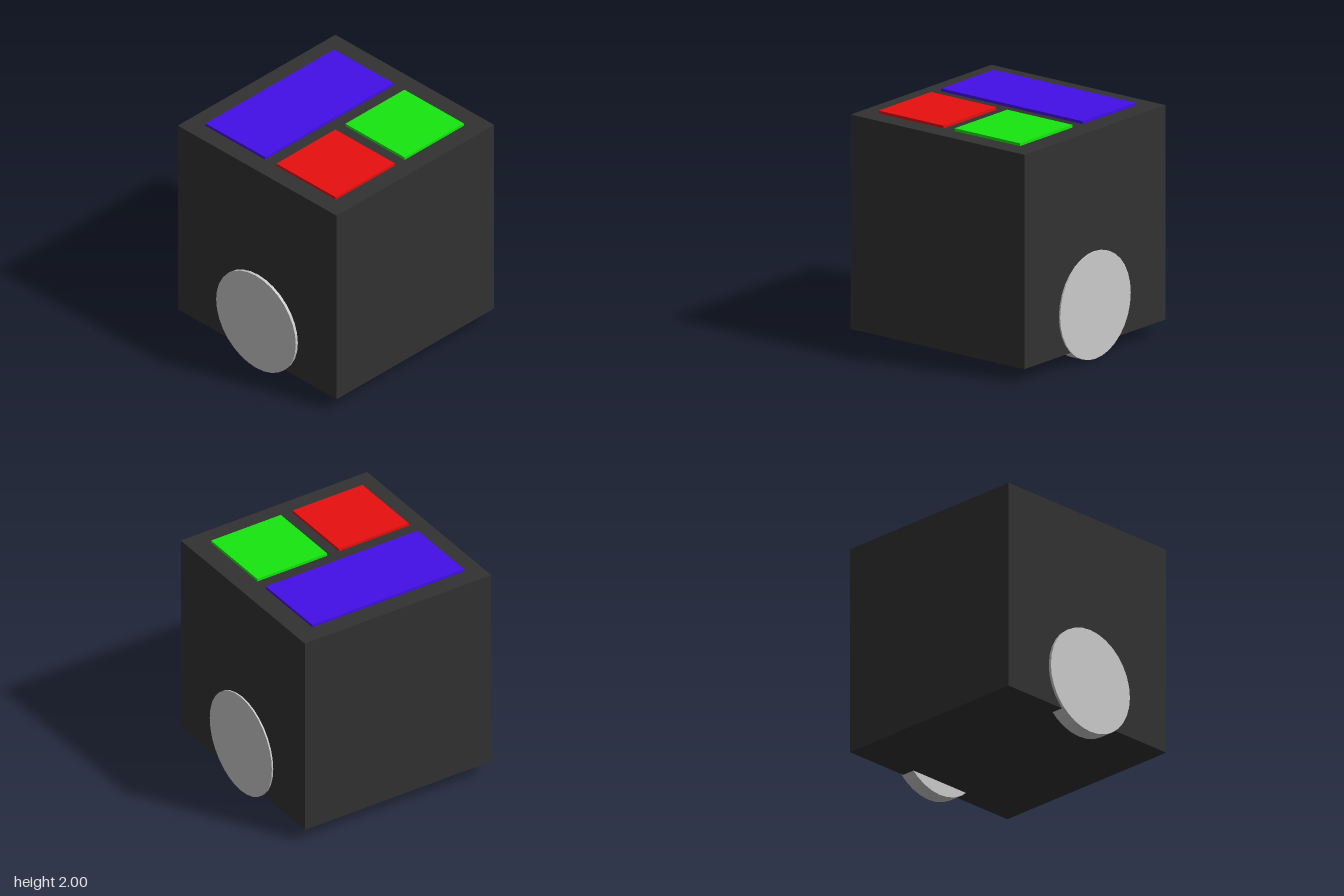
import * as THREE from 'three';

export function createModel() {
  const model = new THREE.Group();

  const add = (name, geometry, color, x, y, z, flatShading = false) => {
    const material = new THREE.MeshStandardMaterial({ color, flatShading });
    const mesh = new THREE.Mesh(geometry, material);
    mesh.name = name;
    mesh.position.set(x, y, z);
    model.add(mesh);
    return mesh;
  };

  // Cubic body, raised slightly off the ground
  const size = 1.855, top = 1.975;
  add('body', new THREE.BoxGeometry(size, size, size), 0x323232, 0.003, top - size / 2, 0);

  // Coloured panels on the lid: name, colour, x range, z range
  const panels = [
    ['bluePanel', 0x430fe8, -0.765, 0.745, -0.76, -0.067],
    ['redPanel', 0xe80f0f, -0.765, -0.07, 0.065, 0.758],
    ['greenPanel', 0x17e80f, 0.048, 0.743, 0.065, 0.758],
  ];
  for (const [name, color, x0, x1, z0, z1] of panels) {
    add(name, new THREE.BoxGeometry(x1 - x0, 0.04, z1 - z0), color,
      (x0 + x1) / 2, 1.98, (z0 + z1) / 2);
  }

  // Disc wheels, mostly sunk into the two sides
  const radius = 0.465;
  const wheel = new THREE.CylinderGeometry(radius, radius, 0.135, 32).rotateZ(Math.PI / 2);
  for (const [name, x] of [['leftWheel', 0.877], ['rightWheel', -0.882]]) {
    add(name, wheel, 0xcccccc, x, radius, 0.01, true);
  }

  return model;
}
